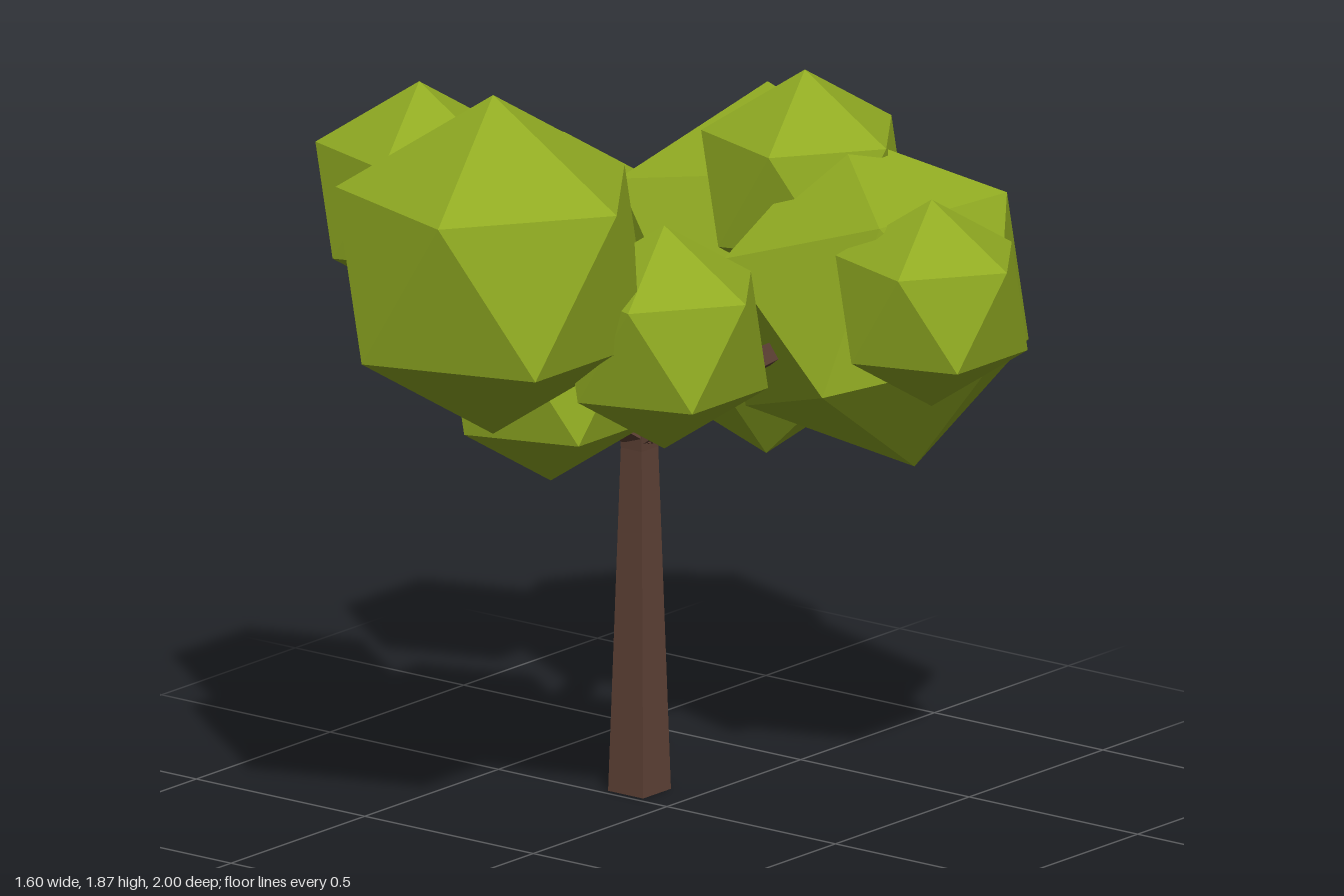
import * as THREE from 'three';

const V = (p) => new THREE.Vector3(...p);

// Rotation whose y axis is `up` and whose x axis leans to `toward`
function frame(up, toward) {
  const y = V(up).normalize();
  const z = V(toward).cross(y).normalize();
  const x = y.clone().cross(z);
  return new THREE.Matrix4().makeBasis(x, y, z);
}

// Icosahedron with one corner along `up` and a neighbouring corner on the `toward` side
function clumpGeometry(radius, up, toward) {
  const phi = (1 + Math.sqrt(5)) / 2;
  const own = frame([0, 1, phi], [0, -1, phi]).transpose();
  return new THREE.IcosahedronGeometry(radius, 0).applyMatrix4(frame(up, toward).multiply(own));
}

// Square-section limb through stops of [x, y, z, half width], with closed ends
function limbGeometry(stops) {
  const pts = stops.map((s) => V(s.slice(0, 3)));
  const rings = pts.map((p, i) => {
    const t = pts[Math.min(i + 1, pts.length - 1)].clone().sub(pts[Math.max(i - 1, 0)]).normalize();
    const v = t.clone().cross(new THREE.Vector3(0, 0, 1)).normalize();
    const u = v.clone().cross(t);
    const h = stops[i][3];
    return [[1, 1], [-1, 1], [-1, -1], [1, -1]].map(([a, b]) =>
      p.clone().addScaledVector(u, a * h).addScaledVector(v, b * h));
  });
  const tris = [];
  const quad = (a, b, c, d) => tris.push(a, b, c, a, c, d);
  for (let i = 0; i < rings.length - 1; i++) {
    for (let j = 0; j < 4; j++) {
      const k = (j + 1) % 4;
      quad(rings[i][j], rings[i][k], rings[i + 1][k], rings[i + 1][j]);
    }
  }
  const [a, b, c, d] = rings[0];
  quad(d, c, b, a);
  quad(...rings[rings.length - 1]);
  const geometry = new THREE.BufferGeometry().setFromPoints(tris);
  geometry.computeVertexNormals();
  return geometry;
}

export function createModel() {
  const leaf = new THREE.MeshStandardMaterial({ color: 0x90aa22 });
  leaf.name = 'leaf green';
  const bark = new THREE.MeshStandardMaterial({ color: 0x5f4236 });
  bark.name = 'bark brown';

  const tree = new THREE.Group();
  tree.name = 'tree';
  const add = (name, geometry, material) => {
    const mesh = new THREE.Mesh(geometry, material);
    mesh.name = name;
    tree.add(mesh);
    return mesh;
  };

  // Trunk and branches
  const limbs = {
    trunk: [[-0.137, 0, -0.07, 0.052], [-0.137, 0.83, -0.07, 0.031], [-0.137, 0.95, -0.07, 0.035]],
    rightBranch: [[-0.14, 0.86, -0.07, 0.03], [-0.03, 0.94, -0.08, 0.03], [0.15, 1.07, -0.08, 0.025], [0.3, 1.16, -0.15, 0.02]],
    farRightBranch: [[0.25, 1.13, -0.13, 0.018], [0.55, 1.25, -0.26, 0.012]],
    backBranch: [[-0.135, 0.86, -0.06, 0.03], [-0.15, 0.91, -0.15, 0.028], [-0.19, 0.96, -0.25, 0.024], [-0.18, 1.08, -0.5, 0.018]],
    backLeftBranch: [[-0.18, 0.95, -0.22, 0.02], [-0.33, 1.07, -0.28, 0.016], [-0.54, 1.18, -0.32, 0.012]],
    frontBranch: [[-0.137, 0.86, -0.08, 0.03], [-0.16, 0.93, 0.03, 0.028], [-0.18, 1.03, 0.2, 0.022], [-0.2, 1.15, 0.4, 0.017]],
    frontLeftTwig: [[-0.18, 1.13, 0.39, 0.016], [-0.41, 1.3, 0.41, 0.012]],
    frontTwig: [[-0.2, 1.13, 0.39, 0.016], [-0.13, 1.18, 0.5, 0.014], [-0.03, 1.3, 0.62, 0.012]],
    frontRightTwig: [[-0.21, 1.14, 0.4, 0.015], [0.2, 1.24, 0.35, 0.011]],
  };
  for (const [name, stops] of Object.entries(limbs)) add(name, limbGeometry(stops), bark);

  // Leaf clumps: name, centre, radius, then the tilt of the two turned ones
  const clumps = [
    ['frontClump', [0, 1.46, 0.65], 0.41],
    ['frontLeftClump', [-0.41, 1.505, 0.41], 0.27],
    ['leftClump', [-0.56, 1.19, -0.32], 0.27],
    ['lowClump', [-0.21, 1.06, 0.17], 0.27],
    ['frontRightClump', [0.27, 1.265, 0.35], 0.27],
    ['rightClump', [0.575, 1.263, -0.265], 0.25],
    ['topClump', [0.06, 1.425, -0.44], 0.27],
    ['backRightClump', [0.296, 1.189, -0.41], 0.4, [-0.123, 0.382, -0.012], [0.234, 0.266, -0.18]],
    ['backClump', [-0.167, 1.143, -0.584], 0.433, [-0.09, 0.407, -0.116], [-0.1, 0.06, -0.413]],
  ];
  for (const [name, centre, radius, up = [0, 1, 0], toward = [1, 0, 0]] of clumps) {
    add(name, clumpGeometry(radius, up, toward), leaf).position.set(...centre);
  }
  return tree;
}
